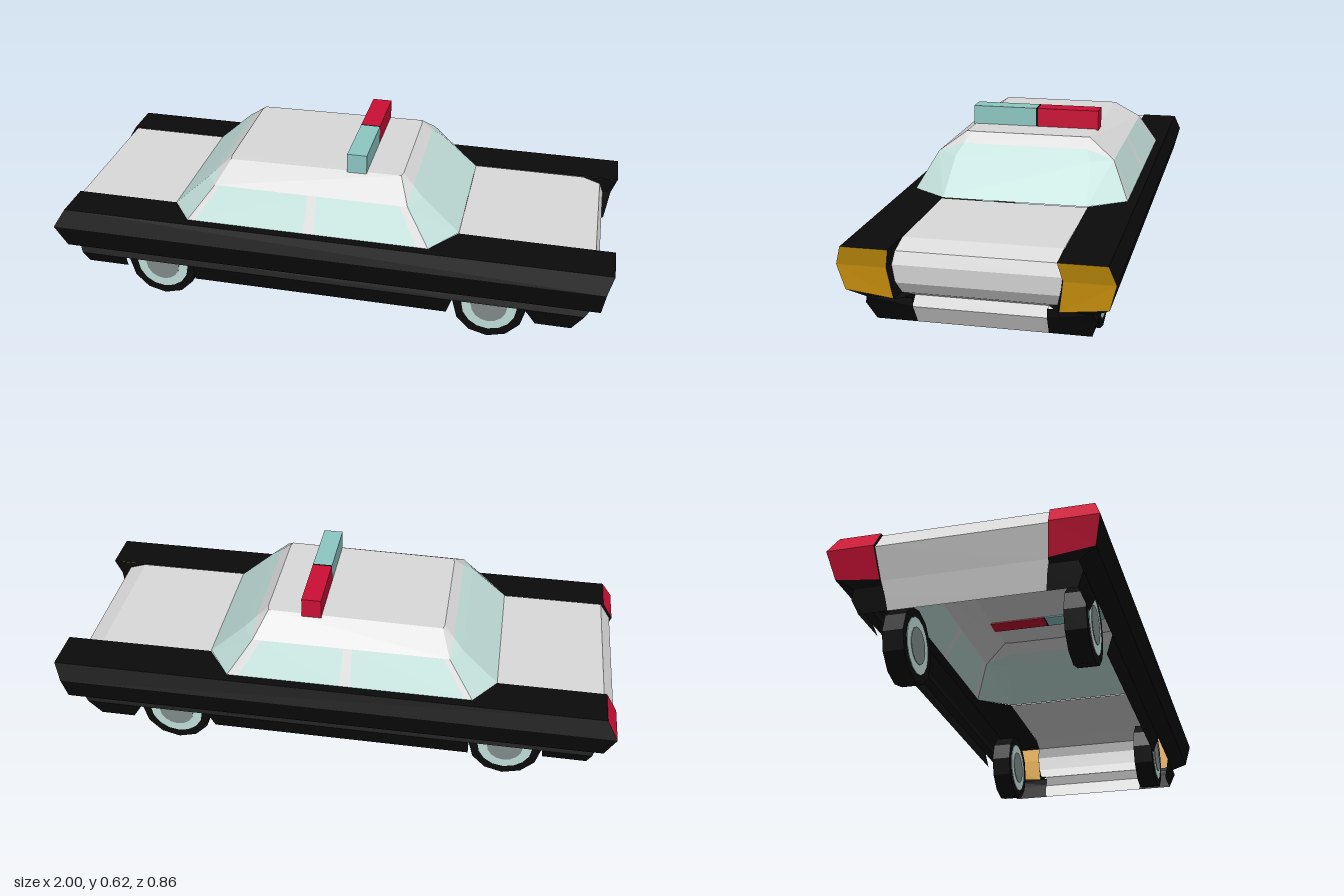
import * as THREE from 'three';

const paint = (name, color) => {
  const m = new THREE.MeshStandardMaterial({ color, side: THREE.DoubleSide });
  m.name = name;
  return m;
};

export function createModel() {
  const car = new THREE.Group();
  car.name = 'patrolCar';
  const black = paint('blackPaint', 0x0b0b0b);
  const white = paint('whitePaint', 0xdadada);
  const glass = paint('paleGlass', 0xc2dfda);
  const teal = paint('tealLamp', 0x8ec8c4);
  const red = paint('redLamp', 0xcc0f35);
  const amber = paint('amberLamp', 0xcf950e);
  const hubGrey = paint('hubGrey', 0x808b8a);

  // Flat panels from convex polygons; mirrored adds the copy across z = 0
  const panels = (name, material, polys, mirrored = true) => {
    const pos = [];
    for (const s of mirrored ? [1, -1] : [1]) {
      for (const p of polys) {
        for (let i = 1; i < p.length - 1; i++) {
          const tri = s > 0 ? [p[0], p[i], p[i + 1]] : [p[0], p[i + 1], p[i]];
          for (const [x, y, z] of tri) pos.push(x, y, z * s);
        }
      }
    }
    const g = new THREE.BufferGeometry();
    g.setAttribute('position', new THREE.Float32BufferAttribute(pos, 3));
    g.computeVertexNormals();
    const mesh = new THREE.Mesh(g, material);
    mesh.name = name;
    car.add(mesh);
  };
  // Strip of quads between two lines of points
  const strip = (a, b) => a.slice(1).map((p, i) => [a[i], b[i], b[i + 1], p]);
  const mix = (a, b, t) => a.map((v, i) => v + (b[i] - v) * t);

  // Body side: tail and nose ends of each long edge, top to bottom
  const tail = [[-0.96, 0.365, 0.41], [-1, 0.3, 0.432], [-0.965, 0.215, 0.41], [-0.945, 0.185, 0.355], [-0.935, 0.155, 0.365]];
  const nose = [[1, 0.365, 0.41], [0.98, 0.3, 0.432], [0.97, 0.215, 0.41], [0.94, 0.185, 0.355], [0.92, 0.155, 0.365]];
  panels('bodySide', black, strip(tail, nose));

  // Lower sills, leaving the wheel arches open
  const sills = [[-0.935, -0.76, -0.92, -0.765, 0.11], [-0.5, 0.46, -0.5, 0.44, 0.088], [0.715, 0.92, 0.755, 0.88, 0.088]];
  panels('sill', black, sills.map(([a, b, c, d, y]) =>
    [[a, 0.155, 0.365], [c, y, 0.345], [d, y, 0.345], [b, 0.155, 0.365]]));

  // Fender tops, cut around the cabin
  const inner = [[-0.96, 0.27], [-0.58, 0.27], [-0.5, 0.375], [0.37, 0.375], [0.46, 0.255], [1, 0.258]];
  panels('fenderTop', black, strip(
    inner.map(([x, z]) => [x, 0.365, z]), inner.map(([x]) => [x, 0.365, 0.41])));

  // Headlamps and tail lamps closing the fender ends
  const noseIn = [[1, 0.365, 0.258], [0.98, 0.3, 0.272], [0.965, 0.195, 0.258]];
  const tailIn = [[-0.96, 0.365, 0.27], [-1, 0.3, 0.275], [-0.96, 0.2, 0.265]];
  panels('headlamp', amber, strip(nose.slice(0, 3), noseIn));
  panels('tailLamp', red, strip(tailIn, tail.slice(0, 3)));

  // Hood, front grille and bumper as one profile, narrowing towards the bottom
  const front = [[0.46, 0.363, 0.255], [0.87, 0.363, 0.255], [0.935, 0.34, 0.258], [0.95, 0.3, 0.265],
    [0.945, 0.24, 0.258], [0.92, 0.2, 0.245], [0.895, 0.185, 0.212], [0.91, 0.15, 0.218], [0.88, 0.088, 0.21]];
  const flip = (p) => p.map(([x, y, z]) => [x, y, -z]);
  panels('hood', white, strip(front, flip(front)), false);

  // Inner fender walls and lower black corners at the front
  panels('frontFenderInner', black, [
    [[1, 0.365, 0.258], [0.87, 0.363, 0.255], [0.935, 0.34, 0.258], [0.95, 0.3, 0.265], [0.98, 0.3, 0.272]],
    [[0.98, 0.3, 0.272], [0.95, 0.3, 0.265], [0.945, 0.24, 0.258], [0.92, 0.2, 0.245], [0.965, 0.195, 0.258]],
    [[0.97, 0.215, 0.41], [0.965, 0.195, 0.258], [0.92, 0.185, 0.212], [0.94, 0.185, 0.355]],
    [[0.965, 0.195, 0.258], [0.92, 0.2, 0.245], [0.895, 0.185, 0.212]],
    [[0.94, 0.185, 0.355], [0.92, 0.185, 0.212], [0.92, 0.155, 0.212], [0.92, 0.155, 0.365]],
    [[0.92, 0.155, 0.365], [0.92, 0.155, 0.212], [0.88, 0.088, 0.21], [0.88, 0.088, 0.345]],
  ]);

  // Trunk lid and rear panel
  const rear = [[-0.58, 0.363, 0.27], [-0.95, 0.363, 0.27], [-0.99, 0.3, 0.275], [-0.95, 0.2, 0.265],
    [-0.935, 0.155, 0.255], [-0.92, 0.11, 0.25]];
  panels('trunk', white, strip(flip(rear), rear), false);
  panels('rearLowerCorner', black, [
    ...strip([tailIn[2], [-0.945, 0.185, 0.262], [-0.935, 0.155, 0.255], [-0.92, 0.11, 0.25]],
      [tail[2], tail[3], tail[4], [-0.92, 0.11, 0.345]]),
    ...strip(tailIn, rear.slice(1, 4)),
  ]);

  // Cabin corners: base, shoulder and roof
  const base = { f: [0.46, 0.365, 0.25], fs: [0.37, 0.365, 0.377], rs: [-0.5, 0.365, 0.377], r: [-0.58, 0.365, 0.27] };
  const mid = { f: [0.328, 0.485, 0.24], fs: [0.285, 0.485, 0.315], rs: [-0.41, 0.485, 0.315], r: [-0.45, 0.485, 0.255] };
  const top = { f: [0.25, 0.553, 0.2], fs: [0.245, 0.553, 0.222], rs: [-0.375, 0.545, 0.222], r: [-0.38, 0.545, 0.2] };
  const neg = ([x, y, z]) => [x, y, -z];

  // Side windows and the white posts between them
  const side = (u0, u1) => [mix(base.rs, base.fs, u0), mix(base.rs, base.fs, u1),
    mix(mid.rs, mid.fs, u1), mix(mid.rs, mid.fs, u0)];
  panels('sideWindow', glass, [side(0.03, 0.49), side(0.535, 0.955)]);
  panels('windowPost', white, [side(0, 0.03), side(0.49, 0.535), side(0.955, 1)]);

  // Wraparound windshield and rear window, with white roof edges above
  const glassTop = 0.5;
  for (const [name, a, b] of [['windshield', 'f', 'fs'], ['rearWindow', 'r', 'rs']]) {
    const edge = mix(mid[a], top[a], glassTop);
    panels(name, glass, [
      [base[a], mid[a], neg(mid[a]), neg(base[a])],
      [mid[a], edge, neg(edge), neg(mid[a])],
    ], false);
    panels(name + 'Corner', glass, [
      [base[a], base[b], mid[b], mid[a]],
      [mid[a], mid[b], edge],
    ]);
    panels(name + 'RoofEdge', white, [[edge, top[a], neg(top[a]), neg(edge)]], false);
    panels(name + 'RoofCorner', white, [[edge, mid[b], top[b], top[a]]]);
  }
  panels('roofSide', white, [[mid.rs, mid.fs, top.fs, top.rs]]);
  panels('roof', white, [[top.f, top.fs, top.rs, top.r, [-0.38, 0.545, 0], [0.25, 0.553, 0]]]);

  // Roof light bar
  const box = (name, material, z0, z1) => {
    const m = new THREE.Mesh(new THREE.BoxGeometry(0.07, 0.072, z1 - z0), material);
    m.position.set(0.088, 0.582, (z0 + z1) / 2);
    m.name = name;
    car.add(m);
  };
  box('beaconTeal', teal, -0.004, 0.228);
  box('beaconDivider', black, -0.011, -0.004);
  box('beaconRed', red, -0.232, -0.011);

  // Wheels with hubcaps on both faces
  const disc = (parent, name, material, r, w, sides) => {
    const g = new THREE.CylinderGeometry(r, r, w, sides).toNonIndexed();
    g.computeVertexNormals();
    const m = new THREE.Mesh(g, material);
    m.rotation.x = Math.PI / 2;
    m.name = name;
    parent.add(m);
  };
  for (const x of [-0.63, 0.59]) {
    for (const s of [1, -1]) {
      const wheel = new THREE.Group();
      wheel.name = 'wheel';
      disc(wheel, 'tyre', black, 0.13, 0.072, 12);
      disc(wheel, 'hubRing', glass, 0.098, 0.076, 16);
      disc(wheel, 'hubCentre', hubGrey, 0.064, 0.08, 16);
      wheel.position.set(x, 0.13, s * 0.298);
      car.add(wheel);
    }
  }
  return car;
}
